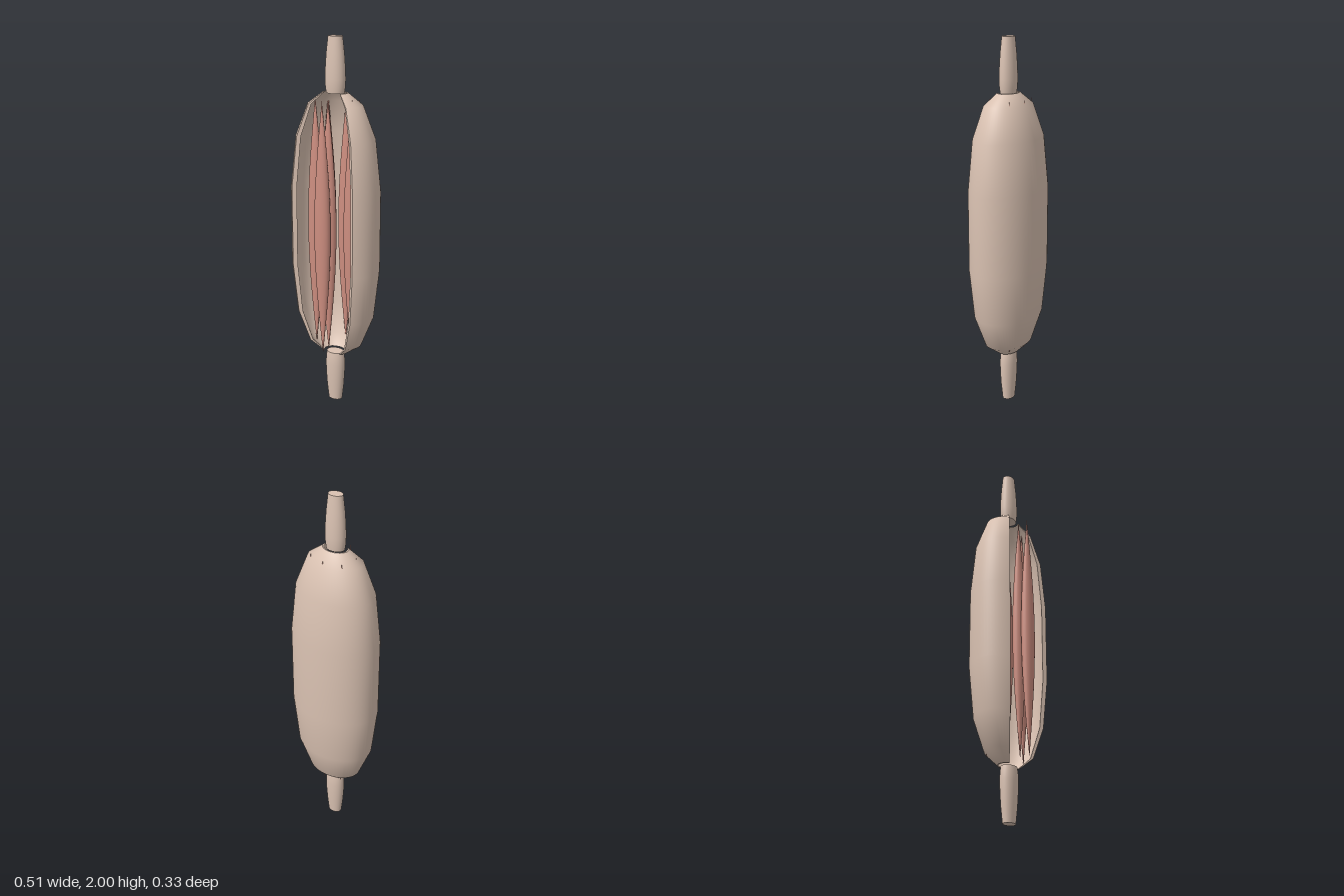
import * as THREE from 'three';

const tissue = new THREE.MeshStandardMaterial({ color: 0xdac2b2, side: THREE.DoubleSide });
tissue.name = 'pale tissue';
const pink = new THREE.MeshStandardMaterial({ color: 0xcd8e80 });
pink.name = 'fibre pink';

const CENTRE_Z = 0.0165;
const GAP = 0.27 * Math.PI; // half of the front opening

const points = list => list.map(([r, y]) => new THREE.Vector2(r, y));

function addMesh(parent, name, geometry, material) {
  const mesh = new THREE.Mesh(geometry, material);
  mesh.name = name;
  parent.add(mesh);
  return mesh;
}

// Thick capsule wall, open at the front
function createCapsule() {
  const capsule = new THREE.Group();
  capsule.name = 'capsule';
  const half = [[0.256, 0.215], [0.225, 0.485], [0.155, 0.655], [0.072, 0.715]];
  const outer = [
    ...half.map(([r, y]) => [r, 1.003 - y]).reverse(),
    ...half.map(([r, y]) => [r, 1.003 + y]),
  ];
  const inner = outer.map(([r, y]) => [r * 0.89, y]).reverse();
  const sweep = profile =>
    new THREE.LatheGeometry(points(profile), 48, GAP, 2 * Math.PI - 2 * GAP);

  addMesh(capsule, 'capsuleOuterWall', sweep(outer), tissue);
  addMesh(capsule, 'capsuleInnerWall', sweep(inner), tissue);
  addMesh(capsule, 'capsuleTopRim', sweep([outer.at(-1), inner[0]]), tissue);
  addMesh(capsule, 'capsuleBottomRim', sweep([inner.at(-1), outer[0]]), tissue);

  // Flat cut faces on both sides of the opening
  const section = new THREE.Shape(points([...outer, ...inner]));
  for (const side of [1, -1]) {
    const cut = new THREE.ShapeGeometry(section).rotateY(side * GAP - Math.PI / 2);
    addMesh(capsule, side > 0 ? 'leftCutFace' : 'rightCutFace', cut, tissue);
  }
  capsule.scale.z = 0.72;
  capsule.position.z = CENTRE_Z;
  return capsule;
}

// Tapered end cord, widest near the capsule
function createTendon(name, top) {
  const tendon = new THREE.Group();
  tendon.name = name;
  const profile = [
    [0, 0], [0.05, 0], [0.05, 0], [0.055, 0.03], [0.057, 0.07], [0.055, 0.13],
    [0.05, 0.2], [0.04, 0.285], [0.04, 0.285], [0, 0.285],
  ];
  const placed = top
    ? profile.map(([r, y]) => [r, 1.715 + y])
    : profile.map(([r, y]) => [r, 0.285 - y]).reverse();
  const wall = placed.slice(2, 8);
  addMesh(tendon, 'tendonWall', new THREE.LatheGeometry(points(wall), 32), tissue);
  addMesh(tendon, 'tendonLowerEnd', new THREE.LatheGeometry(points(placed.slice(0, 2)), 32), tissue);
  addMesh(tendon, 'tendonUpperEnd', new THREE.LatheGeometry(points(placed.slice(8)), 32), tissue);
  // Close each end from its outer edge to the axis
  tendon.children[1].geometry = new THREE.LatheGeometry(points([placed[0], placed[1]]), 32);
  tendon.children[2].geometry = new THREE.LatheGeometry(points([placed[8], placed[9]]), 32);
  tendon.scale.z = 0.76;
  tendon.position.z = CENTRE_Z;
  return tendon;
}

// Slender fibres pointed at both ends
function createFibres() {
  const fibres = new THREE.Group();
  fibres.name = 'fibres';
  const profile = [];
  for (let i = 0; i <= 16; i++) {
    const t = i / 8 - 1;
    profile.push([Math.max(0, 0.047 * Math.cos(t * Math.PI / 2)), t * 0.687]);
  }
  const geometry = new THREE.LatheGeometry(points(profile), 24);
  const spots = [
    [0, 0.133], [0, 0.08], [0.115, 0.033], [-0.115, 0.033],
    [0.098, -0.057], [-0.098, -0.057], [0, -0.083],
  ];
  for (const [x, z] of spots) {
    const fibre = addMesh(fibres, 'fibre', geometry, pink);
    fibre.position.set(x, 1.003, z);
    fibre.scale.z = 0.67;
  }
  return fibres;
}

export function createModel() {
  const model = new THREE.Group();
  model.name = 'fibreSpindle';
  model.add(
    createCapsule(),
    createTendon('upperTendon', true),
    createTendon('lowerTendon', false),
    createFibres(),
  );
  return model;
}
